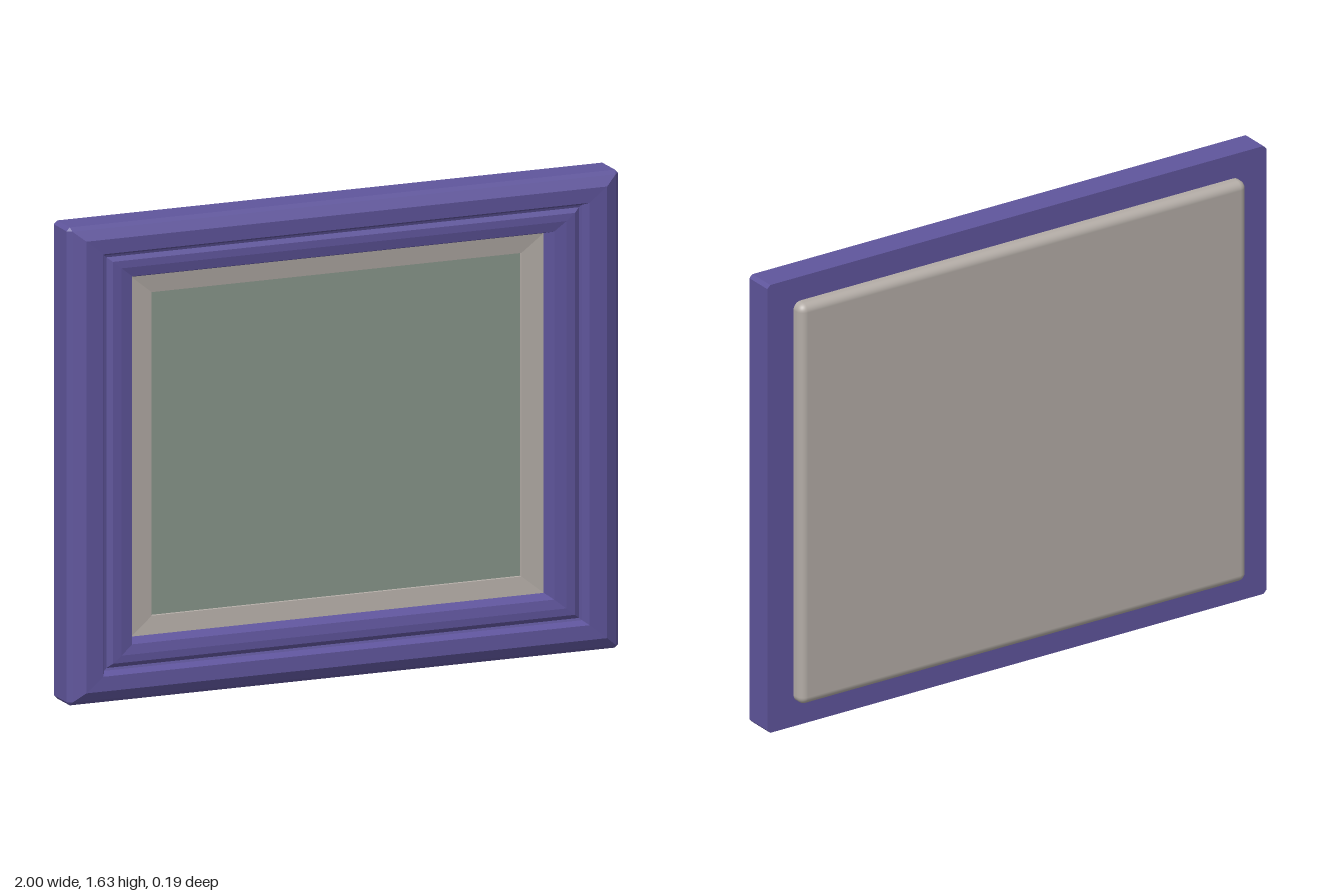
import * as THREE from 'three';
import { RoundedBoxGeometry } from 'three/addons/geometries/RoundedBoxGeometry.js';

const HALF_W = 1, HALF_H = 0.817, MID_Y = 0.817;
const SIDE_RATIO = 1.25; // side mouldings are wider than the top and bottom ones

// One rectangular ring at a given inset and depth, with optionally clipped corners
function ring([inset, z, clip = 0]) {
  const x = HALF_W - inset * SIDE_RATIO, y = HALF_H - inset;
  return [
    [x, -y + clip], [x, y - clip], [x - clip, y], [-x + clip, y],
    [-x, y - clip], [-x, -y + clip], [-x + clip, -y], [x - clip, -y],
  ].map(([px, py]) => new THREE.Vector3(px, py + MID_Y, z));
}

// Sweep a moulding profile of [inset, z, clip] round the rectangle, with mitred corners
function mouldingGeometry(profile) {
  const rings = profile.map(ring);
  const points = [];
  const addTriangle = (a, b, c) => {
    if (new THREE.Triangle(a, b, c).getArea() > 1e-9) points.push(a, b, c);
  };
  for (let i = 0; i < rings.length - 1; i++) {
    for (let k = 0; k < 8; k++) {
      const n = (k + 1) % 8;
      const a = rings[i][k], b = rings[i][n], c = rings[i + 1][n], d = rings[i + 1][k];
      addTriangle(a, b, c);
      addTriangle(a, c, d);
    }
  }
  const geometry = new THREE.BufferGeometry().setFromPoints(points);
  geometry.computeVertexNormals();
  return geometry;
}

export function createModel() {
  const group = new THREE.Group();
  const add = (name, geometry, color, z = 0) => {
    const mesh = new THREE.Mesh(geometry, new THREE.MeshStandardMaterial({ color }));
    mesh.name = name;
    mesh.position.z = z;
    group.add(mesh);
    return mesh;
  };

  // Outer moulding: back, side wall, chamfer, ridge, groove, inner bead, rebate
  add('frameMoulding', mouldingGeometry([
    [0.2, -0.05], [0, -0.05, 0.012], [0, 0.055, 0.012], [0.012, 0.069], [0.045, 0.092],
    [0.095, 0.09], [0.107, 0.06], [0.115, 0.057], [0.13, 0.068],
    [0.155, 0.069], [0.188, 0.062], [0.203, 0.012], [0.2, -0.05],
  ]), 0x5f559c);

  // Pale liner sloping down to the picture
  add('liner', mouldingGeometry([[0.195, 0.016], [0.264, 0.007], [0.267, -0.01]]), 0xb3aca6);

  // Picture panel
  const panel = add('picturePanel', new THREE.BoxGeometry(1.35, 1.12, 0.02), 0x87958a, -0.01);
  panel.position.y = MID_Y;

  // Backing board with rounded edges
  const board = add('backingBoard', new RoundedBoxGeometry(1.79, 1.46, 0.084, 4, 0.028), 0xb3aca6, -0.053);
  board.position.y = MID_Y;

  return group;
}
